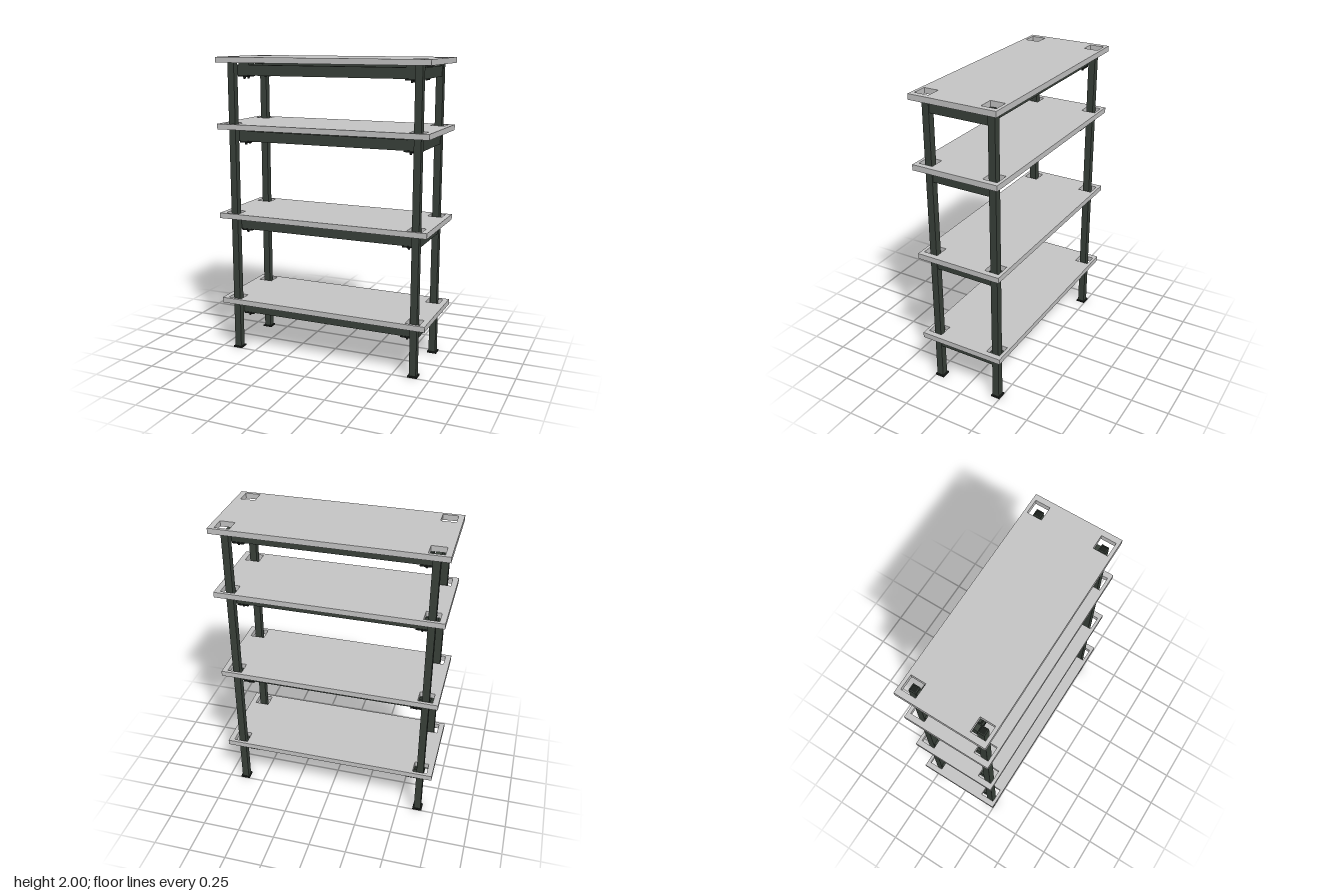
import * as THREE from 'three';

const mat = (name, color) => {
  const m = new THREE.MeshStandardMaterial({ color });
  m.name = name;
  return m;
};

export function createModel() {
  const model = new THREE.Group();
  model.name = 'shelvingUnit';
  const board = mat('light grey board', 0xc8c8c8);
  const steel = mat('dark green steel', 0x3a423b);
  const black = mat('black fittings', 0x1c201d);

  const POST_X = 0.637, POST_Z = 0.219;
  const signs = [-1, 1];

  const add = (parent, name, geo, material, x, y, z) => {
    const mesh = new THREE.Mesh(geo, material);
    mesh.name = name;
    mesh.position.set(x, y, z);
    parent.add(mesh);
    return mesh;
  };
  const box = (parent, name, material, w, h, d, x, y, z) =>
    add(parent, name, new THREE.BoxGeometry(w, h, d), material, x, y, z);
  const square = (Path, x, z, w, d) => {
    const p = new Path();
    p.moveTo(x - w / 2, z - d / 2);
    p.lineTo(x + w / 2, z - d / 2);
    p.lineTo(x + w / 2, z + d / 2);
    p.lineTo(x - w / 2, z + d / 2);
    p.closePath();
    return p;
  };

  // Square tube posts with feet and recessed plugs
  const tube = square(THREE.Shape, 0, 0, 0.046, 0.046);
  tube.holes.push(square(THREE.Path, 0, 0, 0.036, 0.036));
  const tubeGeo = new THREE.ExtrudeGeometry(tube, { depth: 1.953, bevelEnabled: false }).rotateX(-Math.PI / 2);
  for (const sx of signs) for (const sz of signs) {
    const post = new THREE.Group();
    post.name = 'post';
    post.position.set(sx * POST_X, 0, sz * POST_Z);
    add(post, 'postTube', tubeGeo, steel, 0, 0.01, 0);
    box(post, 'foot', black, 0.064, 0.01, 0.064, 0, 0.005, 0);
    box(post, 'postPlug', black, 0.036, 0.01, 0.036, 0, 1.953, 0);
    model.add(post);
  }

  // Shelf board with a square cut-out around each post
  const outline = square(THREE.Shape, 0, 0, 1.446, 0.578);
  for (const sx of signs) for (const sz of signs)
    outline.holes.push(square(THREE.Path, sx * 0.638, sz * 0.22, 0.096, 0.096));
  const boardGeo = new THREE.ExtrudeGeometry(outline, { depth: 0.036, bevelEnabled: false }).rotateX(-Math.PI / 2);
  const boltGeo = new THREE.CylinderGeometry(0.011, 0.007, 0.026, 10);

  for (const top of [2, 1.568, 0.968, 0.37]) {
    const shelf = new THREE.Group();
    shelf.name = 'shelf';
    shelf.position.y = top - 0.036;
    add(shelf, 'shelfBoard', boardGeo, board, 0, 0, 0);

    // Rectangular support frame
    for (const s of signs) {
      box(shelf, 'longBeam', steel, 1.23, 0.068, 0.036, 0, -0.05, s * 0.172);
      box(shelf, 'sideBeam', steel, 0.038, 0.068, 0.394, s * 0.635, -0.05, 0);
      box(shelf, 'centreSpacer', black, 0.034, 0.016, 0.03, s * 0.635, -0.008, 0);
    }

    // Corner brackets, spacers and bolts
    for (const sx of signs) for (const sz of signs) {
      box(shelf, 'cornerSpacer', steel, 0.075, 0.016, 0.07, sx * 0.573, -0.008, sz * 0.15);
      box(shelf, 'cornerBracket', black, 0.075, 0.01, 0.094, sx * 0.573, -0.087, sz * 0.147);
      for (const z of [0.119, 0.172])
        add(shelf, 'bolt', boltGeo, black, sx * 0.575, -0.095, sz * z);
    }
    model.add(shelf);
  }
  return model;
}
